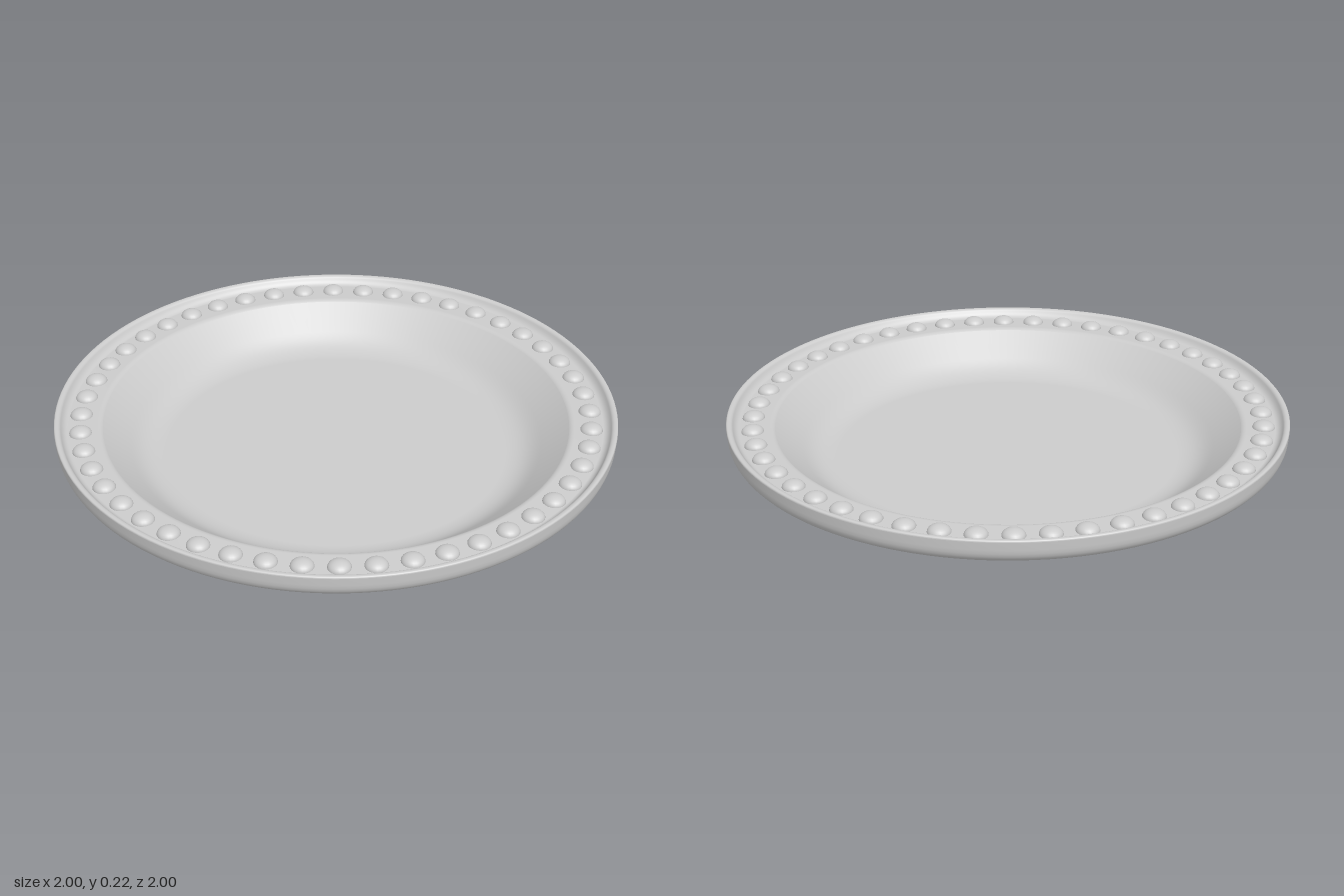
import * as THREE from 'three';

const material = new THREE.MeshStandardMaterial({ color: 0xcccccc });
const SEGMENTS = 128;

// Smooth surface of revolution; profiles run from the bottom centre outward, up and back in
function turned(name, path) {
  const mesh = new THREE.Mesh(new THREE.LatheGeometry(path.getPoints(8), SEGMENTS), material);
  mesh.name = name;
  return mesh;
}

function startAt(x, y) {
  return new THREE.Path().moveTo(x, y);
}

export function createModel() {
  const plate = new THREE.Group();
  plate.name = 'plate';

  // Flat foot curving into the sloped outer wall
  plate.add(turned('bowlUnderside', startAt(0, 0)
    .lineTo(0.57, 0)
    .bezierCurveTo(0.63, 0, 0.67, 0.014, 0.71, 0.036)
    .lineTo(0.87, 0.122)));

  // Flat underside of the rim rolling up to the outer edge
  plate.add(turned('rimOuter', startAt(0.865, 0.12)
    .lineTo(0.925, 0.12)
    .bezierCurveTo(0.97, 0.12, 0.997, 0.14, 0.998, 0.18)
    .lineTo(1, 0.208)));

  // Thin raised lip falling to the beaded band
  plate.add(turned('rimTop', startAt(1, 0.208)
    .quadraticCurveTo(1, 0.215, 0.992, 0.215)
    .quadraticCurveTo(0.982, 0.215, 0.977, 0.207)
    .quadraticCurveTo(0.966, 0.186, 0.95, 0.185)
    .lineTo(0.85, 0.188)
    .quadraticCurveTo(0.838, 0.188, 0.83, 0.182)));

  // Sloped inner wall blending into the flat floor
  plate.add(turned('bowlInside', startAt(0.83, 0.182)
    .lineTo(0.735, 0.102)
    .bezierCurveTo(0.7, 0.073, 0.67, 0.052, 0.61, 0.05)
    .lineTo(0, 0.05)));

  // Ring of low domed beads around the rim
  const beads = new THREE.Group();
  beads.name = 'rimBeads';
  const beadGeometry = new THREE.SphereGeometry(0.04, 20, 8, 0, Math.PI * 2, 0, Math.PI / 2);
  beadGeometry.scale(1, 0.65, 1);
  const count = 48;
  for (let i = 0; i < count; i++) {
    const angle = ((i + 0.5) / count) * Math.PI * 2;
    const bead = new THREE.Mesh(beadGeometry, material);
    bead.name = 'bead';
    bead.position.set(Math.cos(angle) * 0.908, 0.185, Math.sin(angle) * 0.908);
    beads.add(bead);
  }
  plate.add(beads);

  return plate;
}
